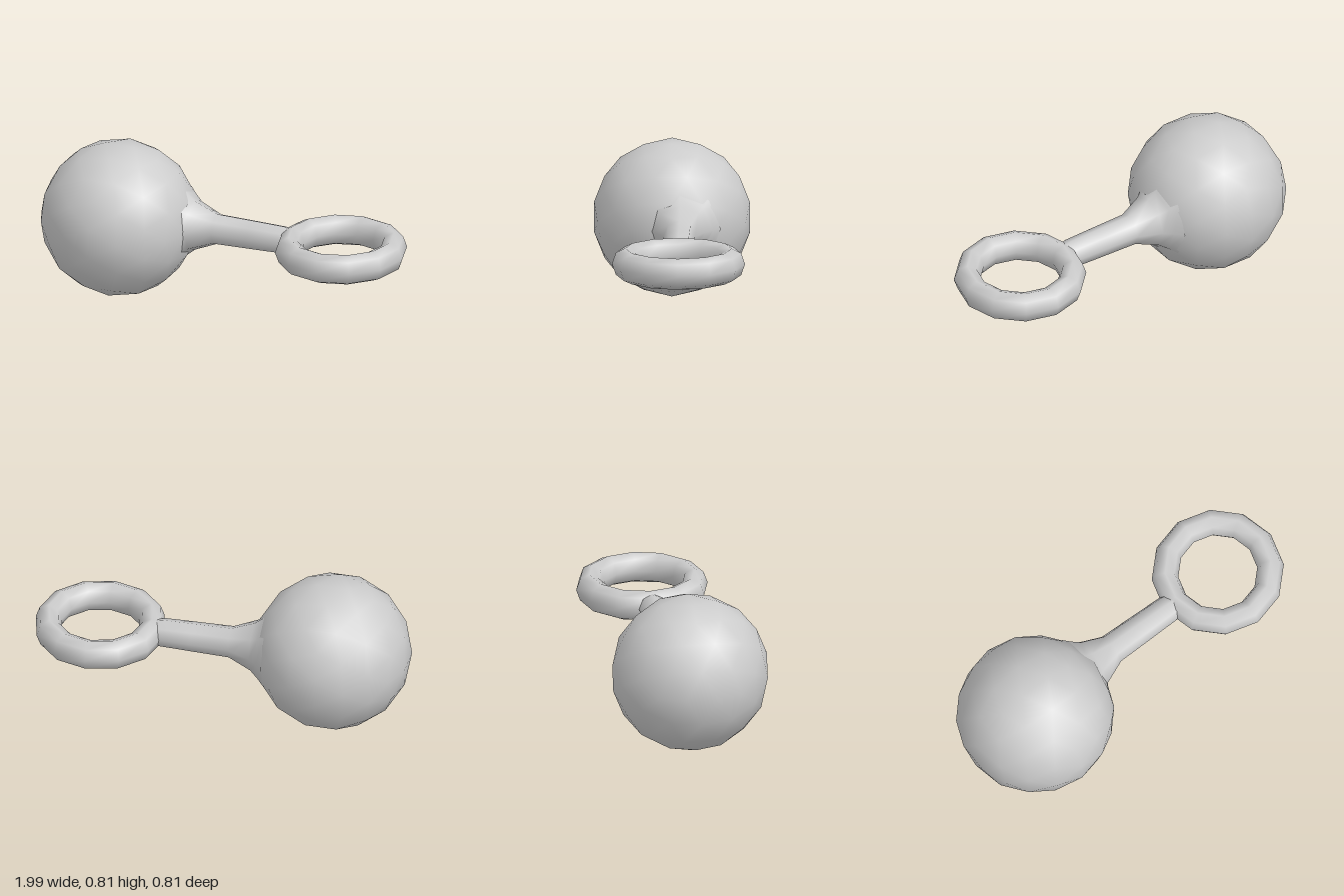
import * as THREE from 'three';

export function createModel() {
  const group = new THREE.Group();
  const material = new THREE.MeshStandardMaterial({ color: 0xcccccc });
  const add = (name, geometry, x, y, z) => {
    const mesh = new THREE.Mesh(geometry, material);
    mesh.name = name;
    mesh.position.set(x, y, z);
    group.add(mesh);
  };

  // Faceted ball with smooth shading
  add('ball', new THREE.IcosahedronGeometry(0.415, 2), -0.585, 0.41, 0);

  // Connecting bar, flaring where it grows out of the ball
  const profile = [
    [0.215, -0.26], [0.175, -0.22], [0.137, -0.175], [0.084, -0.05],
    [0.08, 0.15], [0.076, 0.32], [0.062, 0.39],
  ].map(([r, x]) => new THREE.Vector2(r, x));
  const bar = new THREE.LatheGeometry(profile, 8);
  bar.rotateZ(-Math.PI / 2);
  add('bar', bar, 0, 0.412, -0.046);

  // Flat-lying ring handle, its tube slightly taller than wide
  const ring = new THREE.TorusGeometry(0.278, 0.07, 8, 12);
  ring.rotateX(Math.PI / 2);
  ring.scale(1, 1.18, 1);
  add('ring', ring, 0.652, 0.408, -0.053);

  return group;
}
